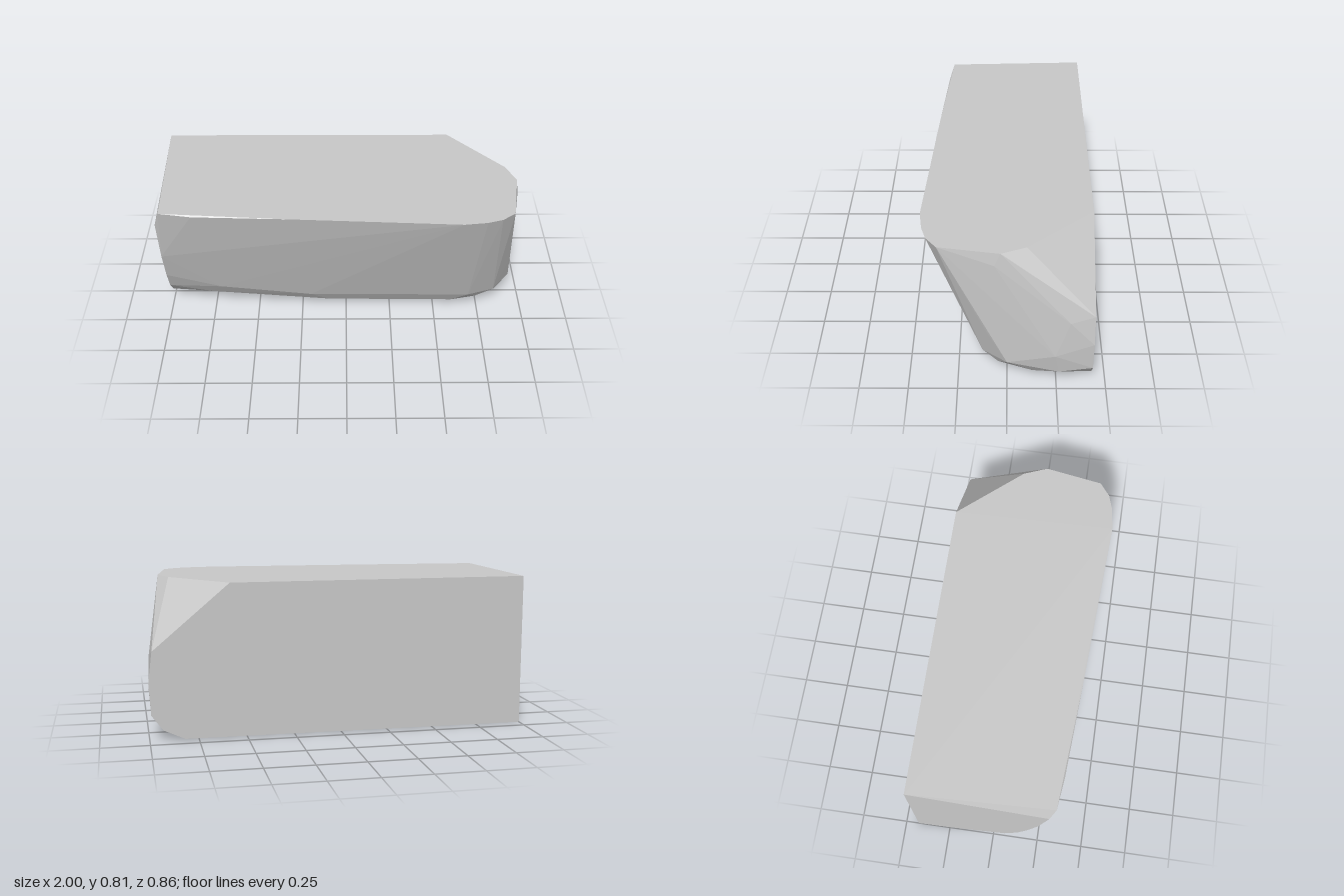
import * as THREE from 'three';
import { ConvexGeometry } from 'three/addons/geometries/ConvexGeometry.js';

export function createModel() {
  const stone = new THREE.MeshStandardMaterial({ color: 0xc8c8c8, flatShading: true });
  stone.name = 'grey stone';

  // flat top outline: [x, z]
  const top = [
    [-1, -0.43], [0.58, -0.43], [0.87, -0.095], [0.92, 0.03], [0.87, 0.335],
    [0.8, 0.39], [0.72, 0.415], [0.6, 0.43], [-0.3, 0.38], [-0.97, 0.33],
  ].map(([x, z]) => [x, 0.805, z]);

  // cut left end: [y, z]
  const leftEnd = [
    [0.71, 0.3], [0.46, 0.25], [0.28, 0.19], [0.16, 0.135], [0.075, 0.065], [0.01, -0.26], [0, -0.43],
  ].map(([y, z]) => [-1, y, z]);

  // cut back, rounded right edge: [x, y]
  const backEdge = [
    [0.98, 0.465], [1, 0.3], [0.99, 0.135], [0.93, 0.055], [0.82, 0.005],
  ].map(([x, y]) => [x, y, -0.43]);

  // chipped front and right flank
  const flank = [
    [-0.8, 0.797, 0.35], [-0.5, 0.735, 0.35],
    [-0.7, 0.18, 0.172], [-0.77, 0.1, 0.117], [-0.2, 0.12, 0.17], [0.69, 0.125, 0.184],
    [-0.1, 0.05, 0.13], [0.6, 0.05, 0.14], [0.74, 0.065, 0.125], [0.84, 0.117, 0.125],
    [0.912, 0.3, 0.1], [0.94, 0.125, 0], [0.87, 0.065, 0.045], [0.925, 0.735, 0.06],
    [0.99, 0.43, -0.31], [0.993, 0.215, -0.24], [0.975, 0.095, -0.26], [0.92, 0.05, -0.13],
  ];

  // underside corners
  const underside = [
    [0.57, 0.004, 0.06], [-0.1, 0.004, 0.03], [-0.77, 0.006, -0.1], [0.74, 0.008, 0.03], [0.82, 0.012, -0.12],
  ];

  const points = [...top, ...leftEnd, ...backEdge, ...flank, ...underside].map((p) => new THREE.Vector3(...p));
  const rock = new THREE.Mesh(new ConvexGeometry(points), stone);
  rock.name = 'rockBlock';

  const model = new THREE.Group();
  model.name = 'rock';
  model.add(rock);
  return model;
}
